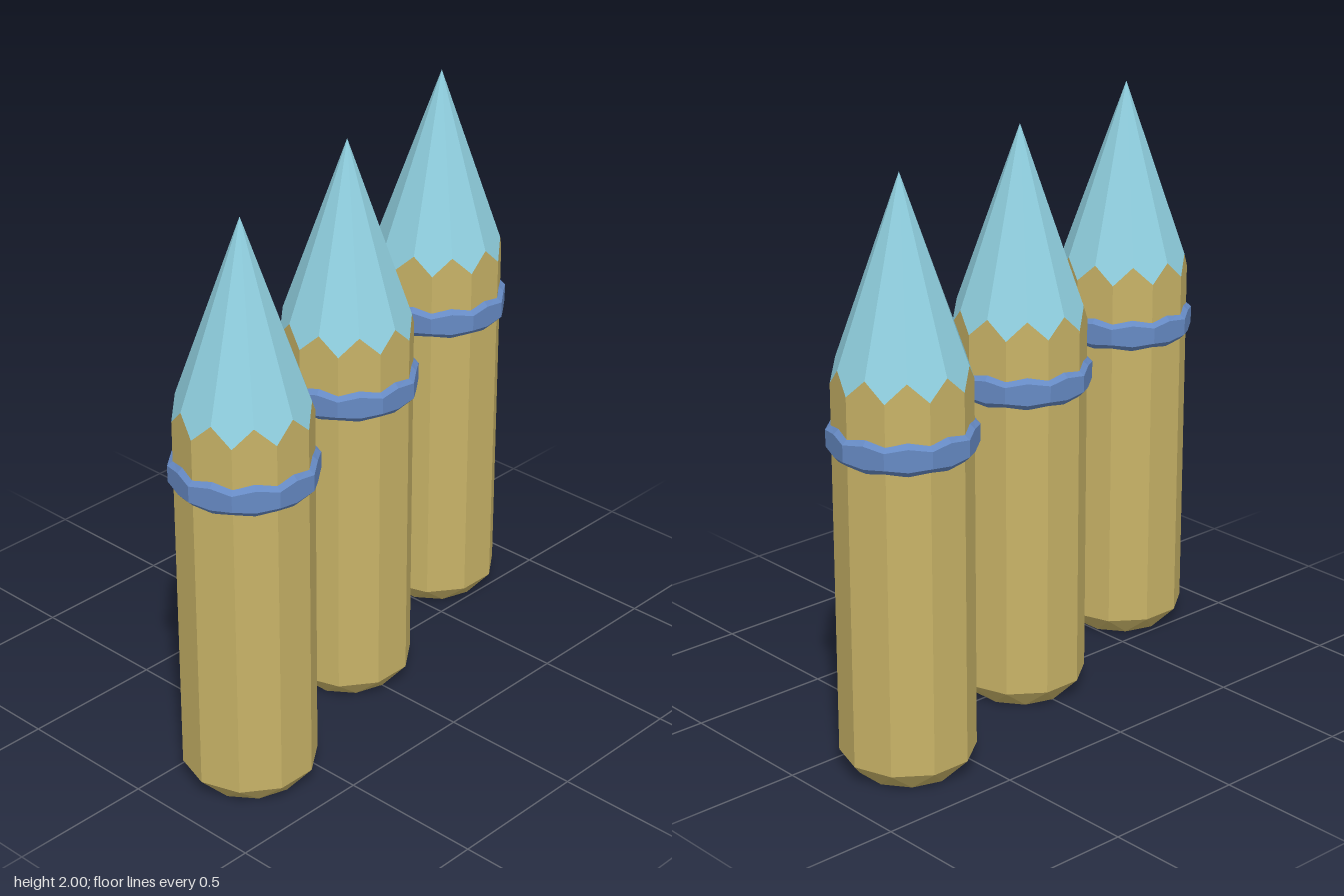
import * as THREE from 'three';

const COLUMNS = 20; // even columns: middles of the ten flats, odd columns: corners
const MID = Math.cos(Math.PI / 10);

// Skin a ten-sided solid from rows [corner radius, corner y, mid radius, mid y], bottom to top.
function loft(rows) {
  const point = (row, i) => {
    const [rc, yc, rm, ym] = row;
    const a = (i * Math.PI * 2) / COLUMNS;
    const r = i % 2 ? rc : rm;
    return new THREE.Vector3(r * Math.sin(a), i % 2 ? yc : ym, r * Math.cos(a));
  };
  const positions = [];
  const tri = (...points) => {
    const t = new THREE.Triangle(...points);
    if (t.getArea() > 1e-8) points.forEach((p) => positions.push(p.x, p.y, p.z));
  };
  for (let k = 0; k < rows.length - 1; k++) {
    for (let i = 0; i < COLUMNS; i++) {
      const a = point(rows[k], i), b = point(rows[k], i + 1);
      const c = point(rows[k + 1], i + 1), d = point(rows[k + 1], i);
      // diagonals run from upper corner to lower mid
      if (i % 2) { tri(a, b, d); tri(b, c, d); }
      else { tri(a, b, c); tri(a, c, d); }
    }
  }
  const geometry = new THREE.BufferGeometry();
  geometry.setAttribute('position', new THREE.Float32BufferAttribute(positions, 3));
  geometry.computeVertexNormals();
  return geometry;
}

function makeMaterial(name, color) {
  const material = new THREE.MeshStandardMaterial({ color, flatShading: true });
  material.name = name;
  return material;
}

export function createModel() {
  const wood = makeMaterial('wood', 0xc8b367);
  const paleBlue = makeMaterial('pale blue', 0x90d0e0);
  const bandBlue = makeMaterial('band blue', 0x668ac4);

  const R = 0.225;
  const footR = 0.168;
  const edge = [R, 1.33, R * MID, 1.394]; // zigzag where shaft meets tip

  // shaft with a faceted chamfer at the foot
  const shaft = loft([
    [0, 0, 0, 0],
    [footR * MID, 0, footR, 0],
    [R, 0.065, R * MID, 0.065],
    edge,
  ]);

  // sharpened point
  const tip = loft([edge, [0, 2, 0, 2]]);

  // bevelled band with wavy rims
  const B = 0.243;
  const band = loft([
    [R - 0.004, 1.1, R * MID - 0.004, 1.088],
    [B, 1.122, B * MID, 1.112],
    [B, 1.178, B * MID, 1.188],
    [R - 0.004, 1.195, R * MID - 0.004, 1.207],
  ]);

  const model = new THREE.Group();
  model.name = 'stakes';
  for (const side of [-1, 0, 1]) {
    const stake = new THREE.Group();
    stake.name = ['rightStake', 'middleStake', 'leftStake'][side + 1];
    const parts = [['shaft', shaft, wood], ['tip', tip, paleBlue], ['band', band, bandBlue]];
    for (const [name, geometry, material] of parts) {
      const mesh = new THREE.Mesh(geometry, material);
      mesh.name = name;
      stake.add(mesh);
    }
    stake.position.set(side * 0.667, 0, side * -0.19);
    model.add(stake);
  }
  return model;
}
